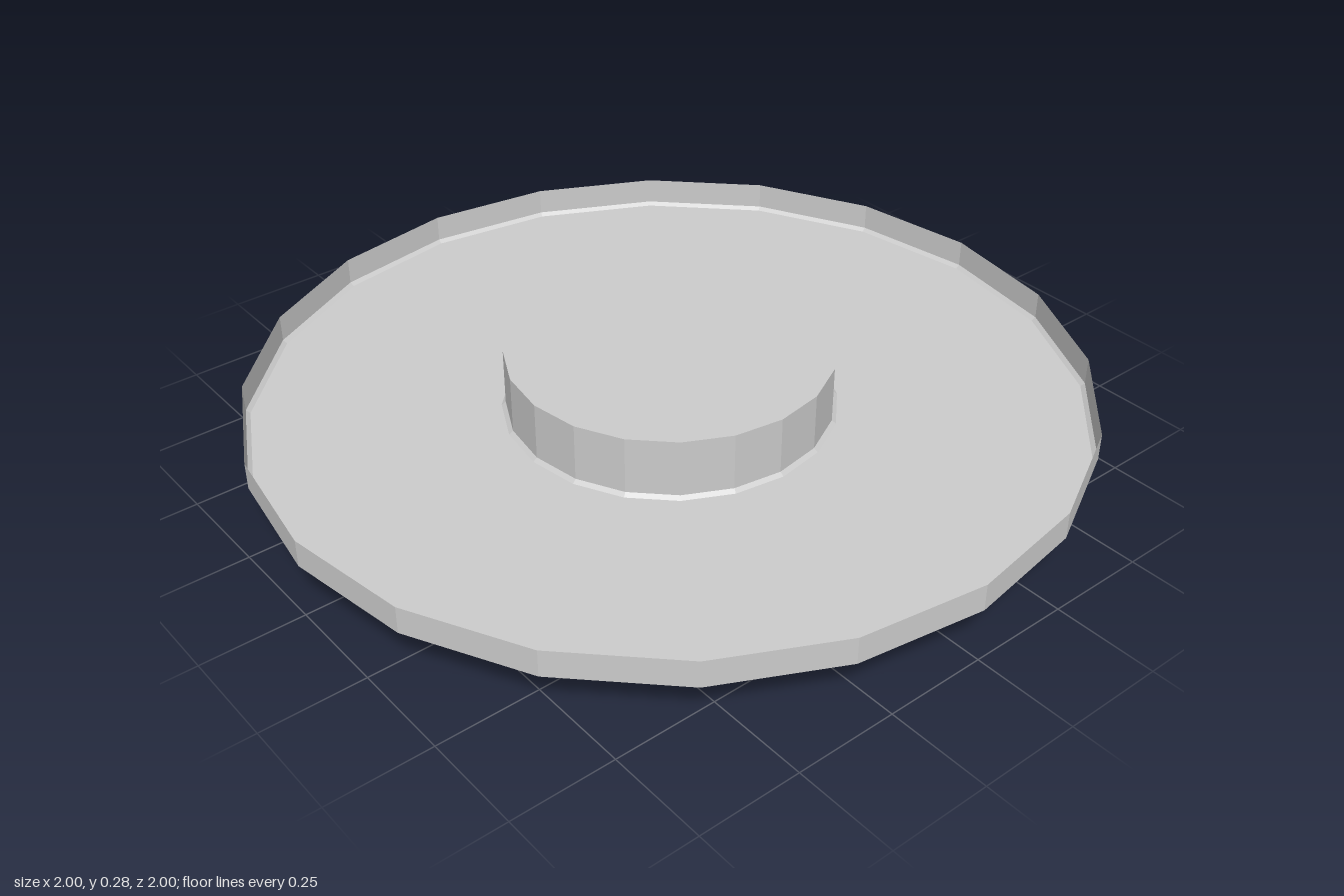
import * as THREE from 'three';

const SIDES = 20;
const material = new THREE.MeshStandardMaterial({
  color: 0xcccccc, flatShading: true, side: THREE.DoubleSide,
});

// Turns a list of [radius, height] points around the y axis.
function turned(name, profile) {
  const points = profile.map(([r, y]) => new THREE.Vector2(r, y));
  const mesh = new THREE.Mesh(new THREE.LatheGeometry(points, SIDES), material);
  mesh.name = name;
  return mesh;
}

export function createModel() {
  const model = new THREE.Group();
  model.name = 'dish';

  // Thin tray floor with a small bevel up into the open rim
  model.add(turned('tray', [[0.4, 0.125], [0.99, 0.125], [1, 0.133], [1, 0.2]]));

  // Raised flat-topped hub, bevelled where it meets the floor
  model.add(turned('hub', [[0.4, 0.125], [0.39, 0.133], [0.39, 0.275], [0, 0.275]]));

  // Shallow rounded bowl hanging below the tray
  const bowl = [];
  const bands = 8;
  for (let i = 0; i <= bands; i++) {
    const a = (i / bands) * Math.PI / 2;
    bowl.push([0.39 * Math.sin(a), 0.133 * (1 - Math.cos(a))]);
  }
  model.add(turned('bowl', bowl));

  return model;
}
